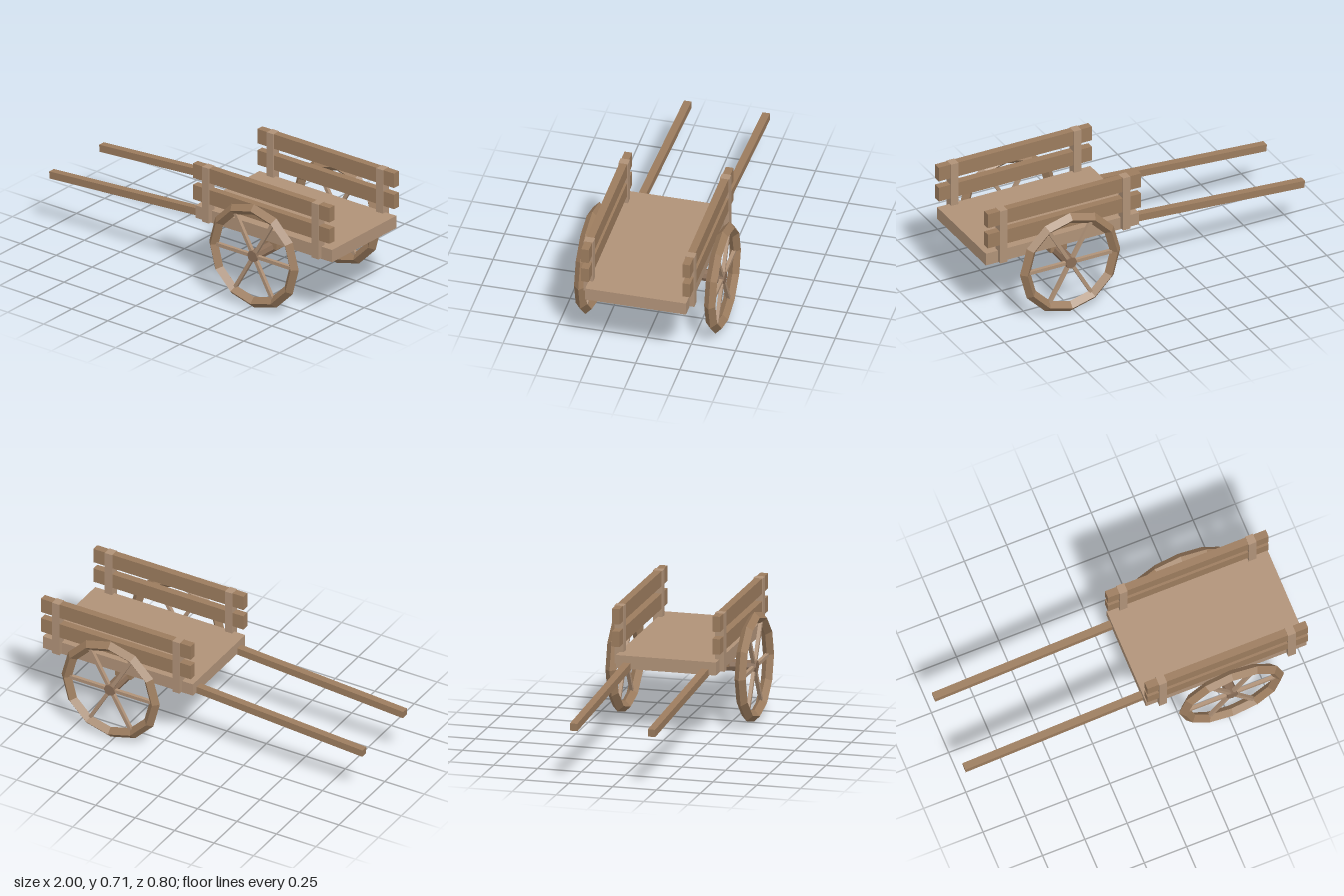
import * as THREE from 'three';

const paint = (color) => new THREE.MeshStandardMaterial({ color, flatShading: true });

export function createModel() {
  const cart = new THREE.Group();
  cart.name = 'handCart';
  const light = paint(0xb09278), dark = paint(0x9c7c5e), axleWood = paint(0x8a6e58);

  const add = (name, geometry, material, x, y, z, parent = cart) => {
    const mesh = new THREE.Mesh(geometry, material);
    mesh.name = name;
    mesh.position.set(x, y, z);
    parent.add(mesh);
    return mesh;
  };
  const box = (name, material, [x0, x1], [y0, y1], [z0, z1]) =>
    add(name, new THREE.BoxGeometry(x1 - x0, y1 - y0, z1 - z0), material,
      (x0 + x1) / 2, (y0 + y1) / 2, (z0 + z1) / 2);

  // Flat bed
  box('bed', light, [0.05, 1], [0.377, 0.451], [-0.285, 0.285]);

  // Axle running through both wheels
  const wheelX = 0.522, wheelY = 0.311;
  const axleGeometry = new THREE.CylinderGeometry(0.034, 0.034, 0.77, 8).rotateX(Math.PI / 2);
  add('axle', axleGeometry, axleWood, wheelX, wheelY + 0.001, 0);

  for (const side of [1, -1]) {
    const zSpan = (a, b) => (side > 0 ? [a, b] : [-b, -a]);
    const label = side > 0 ? 'front' : 'back';

    // Side fence: two slats held by two posts
    for (const y of [0.497, 0.625]) {
      box(label + 'Slat', dark, [0.05, 1], [y, y + 0.087], zSpan(0.265, 0.308));
    }
    for (const x of [0.118, 0.88]) {
      box(label + 'Post', light, [x, x + 0.046], [0.383, 0.713], zSpan(0.26, 0.313));
    }

    // Block between bed and axle
    box(label + 'AxleBlock', dark, [0.47, 0.574], [0.311, 0.377], zSpan(0.16, 0.235));

    // Sloping pull shaft
    const start = new THREE.Vector2(-0.999, 0.32), end = new THREE.Vector2(0.17, 0.398);
    const shaft = add(label + 'Shaft',
      new THREE.BoxGeometry(start.distanceTo(end), 0.042, 0.042), dark,
      (start.x + end.x) / 2, (start.y + end.y) / 2, side * 0.222);
    shaft.rotation.z = end.clone().sub(start).angle();

    // Twelve-sided wheel with a diamond-section rim and six spokes
    const wheel = new THREE.Group();
    wheel.name = label + 'Wheel';
    wheel.position.set(wheelX, wheelY, side * 0.368);
    cart.add(wheel);
    add('rim', new THREE.TorusGeometry(0.279, 0.032, 4, 12), dark, 0, 0, 0, wheel);
    for (let i = 0; i < 3; i++) {
      const spokes = add('spokePair', new THREE.BoxGeometry(0.53, 0.02, 0.02), light, 0, 0, 0, wheel);
      spokes.rotation.z = (i * Math.PI) / 3;
    }
  }
  return cart;
}
